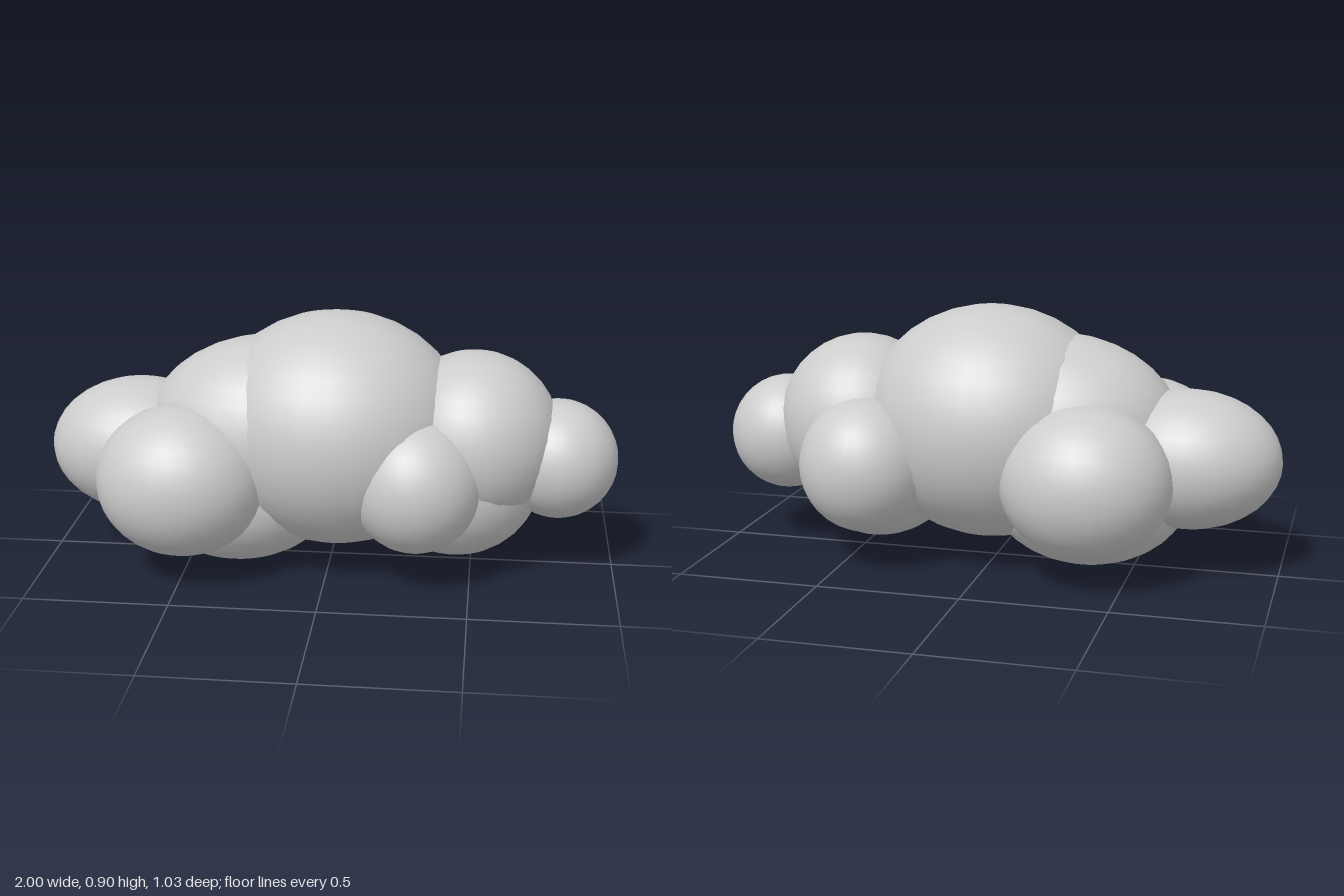
import * as THREE from 'three';

export function createModel() {
  const cloud = new THREE.Group();
  cloud.name = 'cloud';
  const cloudGrey = new THREE.MeshStandardMaterial({ color: 0xcccccc });
  cloudGrey.name = 'cloudGrey';

  // One smooth unit ball, stretched into every puff
  const ball = new THREE.SphereGeometry(1, 32, 18);

  // name, centre, radii
  const puffs = [
    ['mainPuff', [0.02, 0.49, 0.015], [0.46, 0.41, 0.415]],
    // wide end
    ['rightUpperPuff', [-0.2, 0.475, 0.02], [0.45, 0.335, 0.34]],
    ['rightLowerPuff', [-0.33, 0.27, 0.015], [0.36, 0.27, 0.32]],
    ['rightEndPuff', [-0.68, 0.397, 0], [0.32, 0.24, 0.26]],
    ['rightFrontPuff', [-0.49, 0.358, 0.25], [0.295, 0.263, 0.262]],
    ['rightBackPuff', [-0.37, 0.358, -0.25], [0.295, 0.263, 0.265]],
    // narrow end
    ['leftUpperPuff', [0.5, 0.47, 0.022], [0.3, 0.305, 0.305]],
    ['leftLowerPuff', [0.44, 0.33, 0.015], [0.3, 0.285, 0.295]],
    ['leftEndPuff', [0.793, 0.403, 0.022], [0.207, 0.208, 0.208]],
    ['leftFrontPuff', [0.31, 0.365, 0.235], [0.227, 0.235, 0.225]],
    ['leftBackPuff', [0.41, 0.365, -0.235], [0.23, 0.235, 0.225]],
  ];

  for (const [name, centre, radii] of puffs) {
    const puff = new THREE.Mesh(ball, cloudGrey);
    puff.name = name;
    puff.position.set(...centre);
    puff.scale.set(...radii);
    cloud.add(puff);
  }
  return cloud;
}
